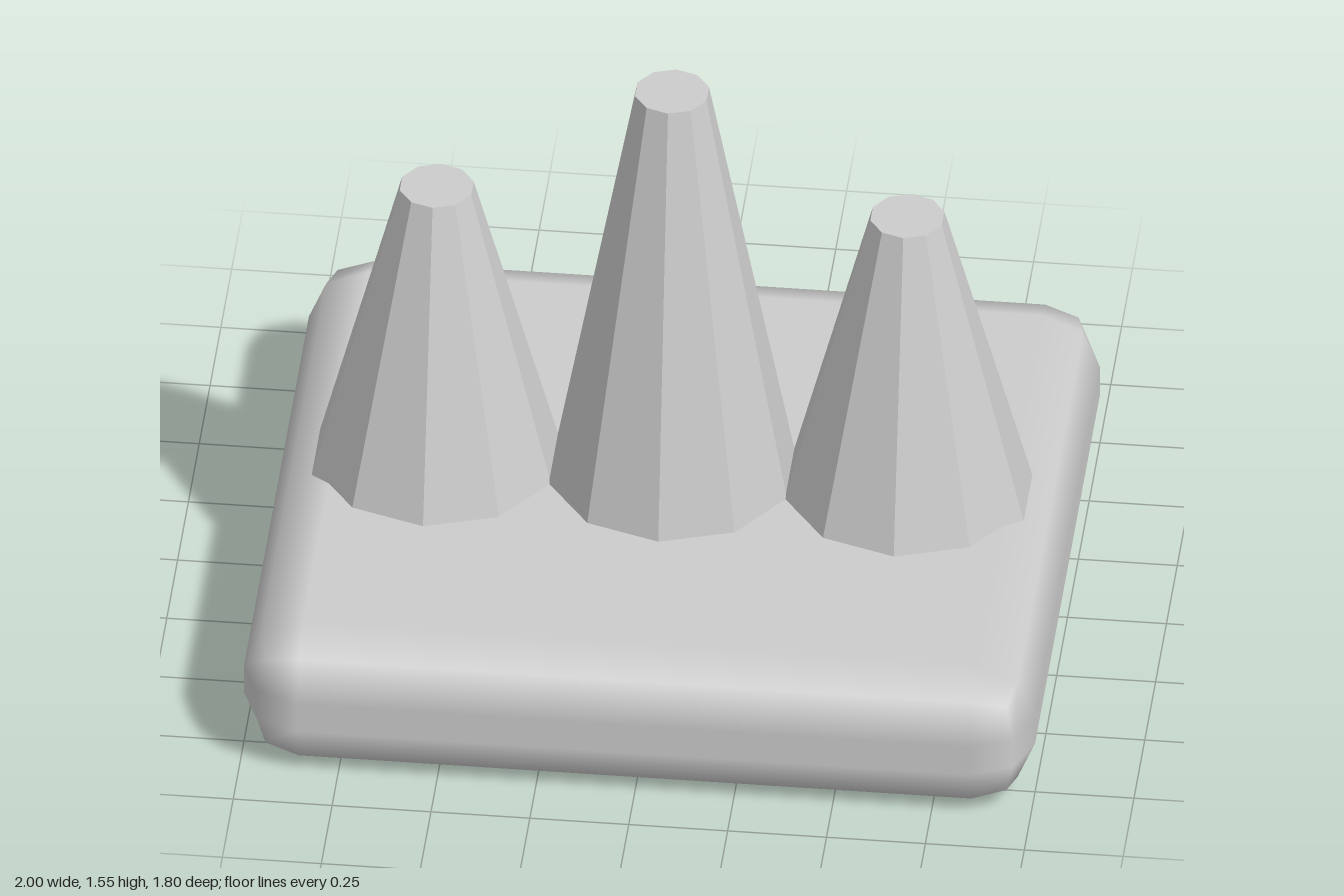
import * as THREE from 'three';
import { RoundedBoxGeometry } from 'three/addons/geometries/RoundedBoxGeometry.js';

const SINK = 0.3; // level at which the spires end, hidden inside the base

export function createModel() {
  const group = new THREE.Group();
  const grey = new THREE.MeshStandardMaterial({ color: 0xcccccc });
  grey.name = 'plain grey';

  // Cushion-like slab with one bevel step per rounded edge
  const base = new THREE.Mesh(new RoundedBoxGeometry(2, 0.385, 1.8, 1, 0.15), grey);
  base.name = 'base';
  base.position.y = 0.1925;
  group.add(base);

  // Ten-sided truncated spire with faceted sides
  function addSpire(name, x, top, bottomRadius) {
    const height = top - SINK;
    const geometry = new THREE.CylinderGeometry(0.095, bottomRadius, height, 10).toNonIndexed();
    geometry.computeVertexNormals();
    const spire = new THREE.Mesh(geometry, grey);
    spire.name = name;
    spire.position.set(x, SINK + height / 2, 0);
    group.add(spire);
  }

  addSpire('centreSpire', 0, 1.555, 0.333);
  addSpire('leftSpire', 0.595, 1.215, 0.338);
  addSpire('rightSpire', -0.595, 1.215, 0.338);

  return group;
}
